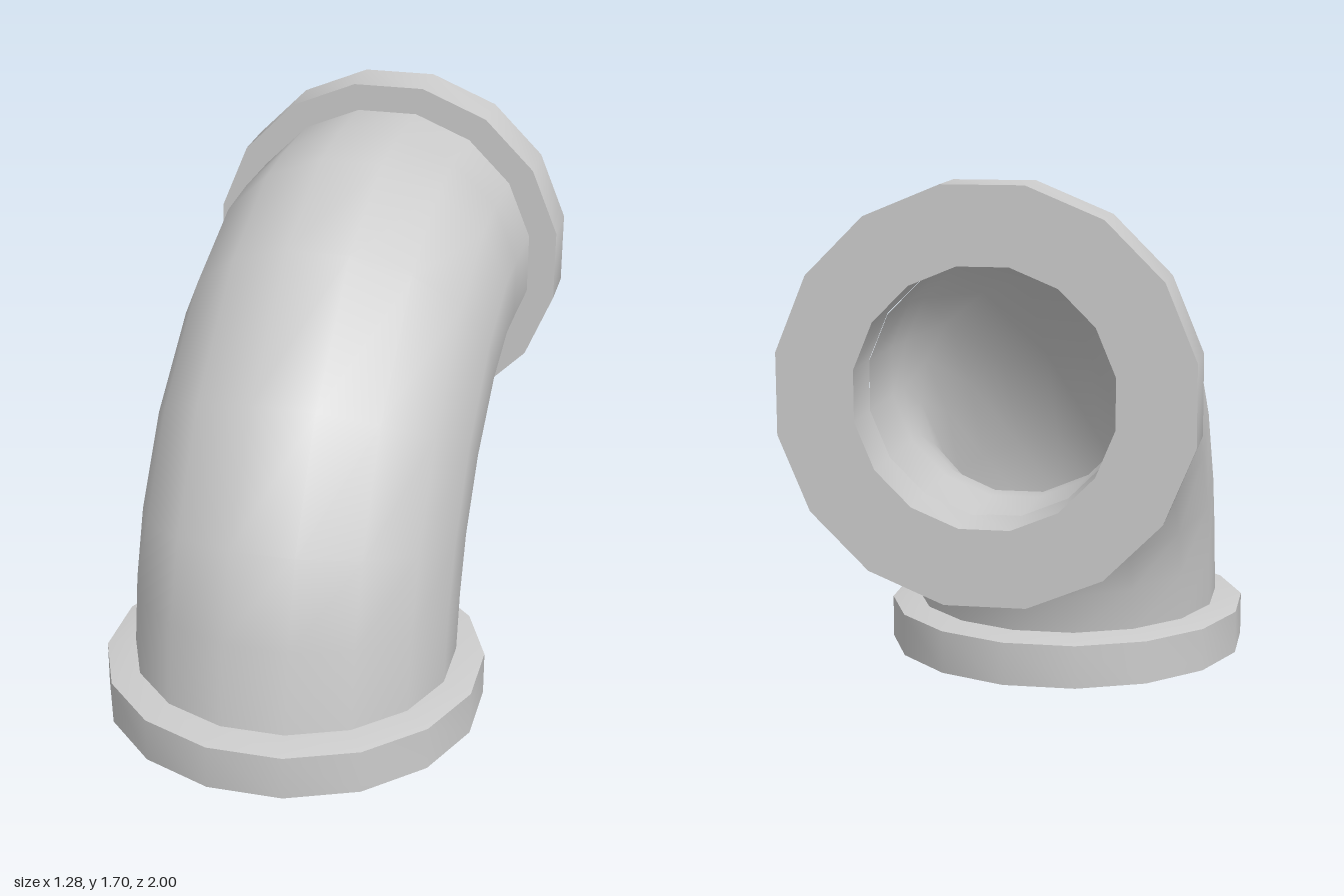
import * as THREE from 'three';
import { toCreasedNormals } from 'three/addons/utils/BufferGeometryUtils.js';

const SIDES = 16;
const DRIFT = -0.0185; // slight sideways lean of the pipe per unit of z
const BORE = 0.38;

// Stations along the bend: [z, y] on the outside of the bend, [z, y] on the inside
const STATIONS = [
  [0.515, 0.17, -0.515, 0.17],
  [0.47, 0.45, -0.545, 0.31],
  [0.385, 0.72, -0.605, 0.43],
  [0.15, 1.09, -0.705, 0.52],
  [-0.265, 1.435, -0.815, 0.575],
  [-0.675, 1.59, -0.885, 0.6],
  [-0.925, 1.605, -0.925, 0.6],
  [-1.18, 1.605, -1.18, 0.6],
];

// Tube of 16-sided rings along the stations
function bentTube(radius, inward) {
  const pos = [], index = [];
  STATIONS.forEach(([zo, yo, zi, yi], i) => {
    const cz = (zo + zi) / 2, cy = (yo + yi) / 2;
    const len = Math.hypot(zo - zi, yo - yi);
    const dz = (zo - zi) / len, dy = (yo - yi) / len;
    for (let j = 0; j < SIDES; j++) {
      const a = ((j + 0.5) / SIDES) * Math.PI * 2;
      const u = radius * Math.cos(a), v = radius * Math.sin(a);
      pos.push(u + DRIFT * cz, cy + v * dy, cz + v * dz);
      if (i === 0) continue;
      const k = (j + 1) % SIDES;
      const p = (i - 1) * SIDES + j, q = (i - 1) * SIDES + k;
      const r = i * SIDES + j, s = i * SIDES + k;
      if (inward) index.push(p, q, r, q, s, r);
      else index.push(p, r, q, q, r, s);
    }
  });
  const geo = new THREE.BufferGeometry();
  geo.setAttribute('position', new THREE.Float32BufferAttribute(pos, 3));
  geo.setIndex(index);
  geo.computeVertexNormals();
  return geo;
}

// Ring flange, its open face at y = 0; slope makes its faces slightly conical
function flangeGeometry(slope) {
  const profile = [
    [BORE, 0], [0.61, slope], [0.61, 0.183 - slope],
    [0.51, 0.183], [BORE, 0.183], [BORE, 0],
  ].map(([x, y]) => new THREE.Vector2(x, y));
  const lathe = new THREE.LatheGeometry(profile, SIDES, Math.PI / SIDES);
  return toCreasedNormals(lathe, 0.6);
}

export function createModel() {
  const model = new THREE.Group();
  model.name = 'pipeElbow';
  const material = new THREE.MeshStandardMaterial({ color: 0xcccccc });
  const elbow = new THREE.Group();
  elbow.name = 'elbow';
  const add = (name, geometry) => {
    const mesh = new THREE.Mesh(geometry, material);
    mesh.name = name;
    elbow.add(mesh);
    return mesh;
  };

  // Pipe wall and bore
  add('pipeOuterWall', bentTube(0.518, false));
  add('pipeBore', bentTube(BORE, true));

  // Flange on the ground and flange at the back
  add('bottomFlange', flangeGeometry(0.02));
  const back = add('backFlange', flangeGeometry(0));
  back.rotation.x = Math.PI / 2;
  back.position.set(DRIFT * -1.352, 1.1025, -1.352);

  // The whole elbow is turned a little about the vertical
  elbow.rotation.y = 0.077;
  elbow.position.set(0.034, 0, 0.395);
  model.add(elbow);
  return model;
}
